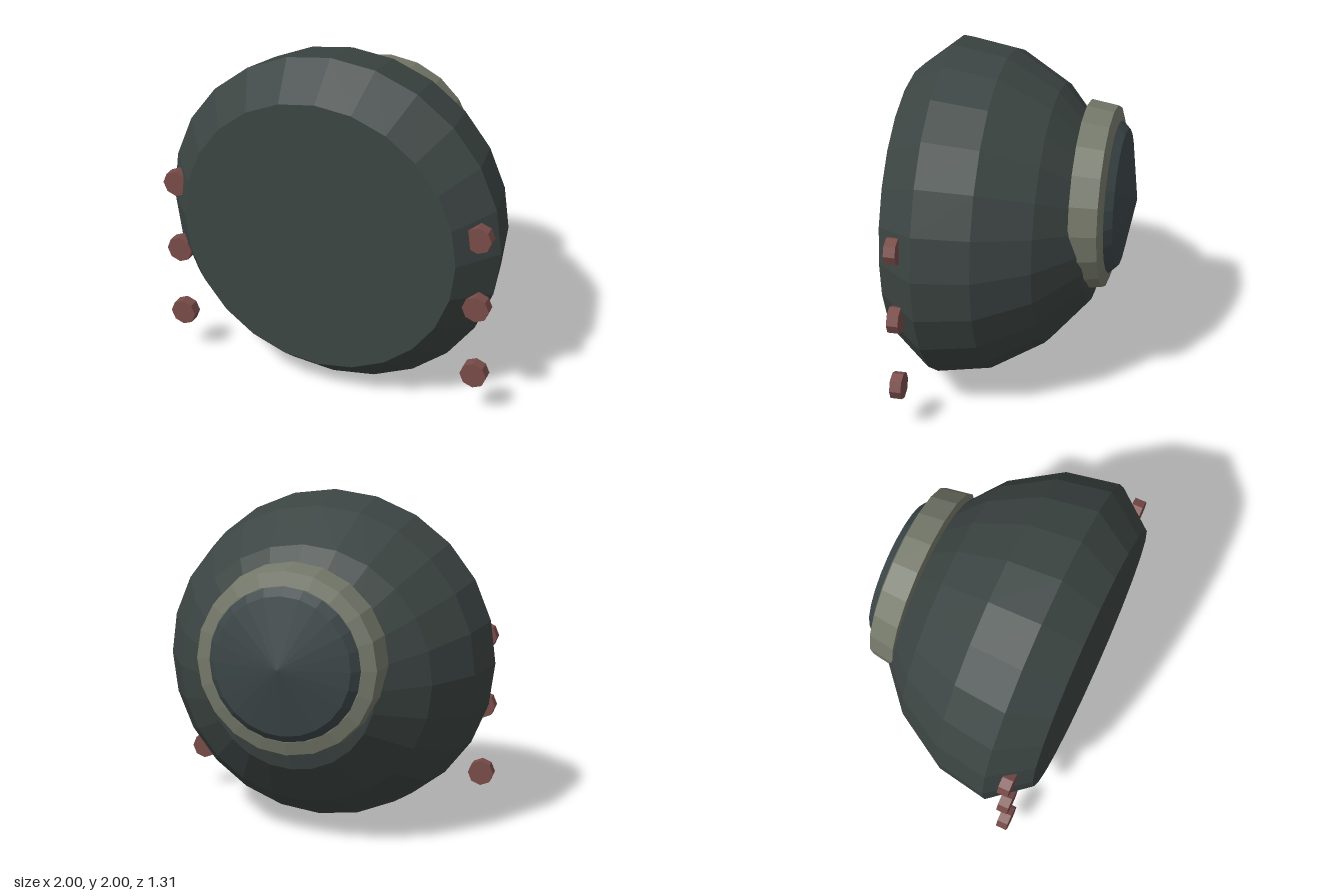
import * as THREE from 'three';

const paint = (color) => new THREE.MeshStandardMaterial({ color, flatShading: true });

// Solid of revolution about the z axis; profile is [radius, z] from back to front
function turned(name, profile, sides, material, y) {
  const points = profile.map(([r, z]) => new THREE.Vector2(r, z));
  const geometry = new THREE.LatheGeometry(points, sides).rotateX(Math.PI / 2);
  const mesh = new THREE.Mesh(geometry, material);
  mesh.name = name;
  mesh.position.y = y;
  return mesh;
}

export function createModel() {
  const model = new THREE.Group();
  model.name = 'roundHousing';

  // Domed body with a bevelled flat front
  const body = [[0, -0.53], [0.17, -0.51], [0.5, -0.42], [0.765, -0.19],
    [0.945, 0.11], [1, 0.425], [0.815, 0.655], [0, 0.655]];
  model.add(turned('body', body, 24, paint(0x3c4543), 1));

  // Rear collar, slightly above the body's axis
  const collar = [[0, -0.53], [0.45, -0.53], [0.53, -0.507], [0.555, -0.35], [0, -0.35]];
  model.add(turned('rearCollar', collar, 20, paint(0x75796a), 1.14));

  // Shallow cap seated in the collar
  const cap = [[0, -0.655], [0.4, -0.575], [0.45, -0.525], [0, -0.525]];
  model.add(turned('rearCap', cap, 24, paint(0x3c4648), 1.14));

  // Three octagonal studs down each side
  const studGeometry = new THREE.CylinderGeometry(0.078, 0.078, 0.066, 8).rotateX(Math.PI / 2);
  const studMaterial = paint(0x784b48);
  for (const [side, x] of [['left', 0.91], ['right', -0.91]]) {
    [1.14, 0.71, 0.28].forEach((y, i) => {
      const stud = new THREE.Mesh(studGeometry, studMaterial);
      stud.name = `${side}Stud${i + 1}`;
      stud.position.set(x, y, 0.542);
      model.add(stud);
    });
  }
  return model;
}
